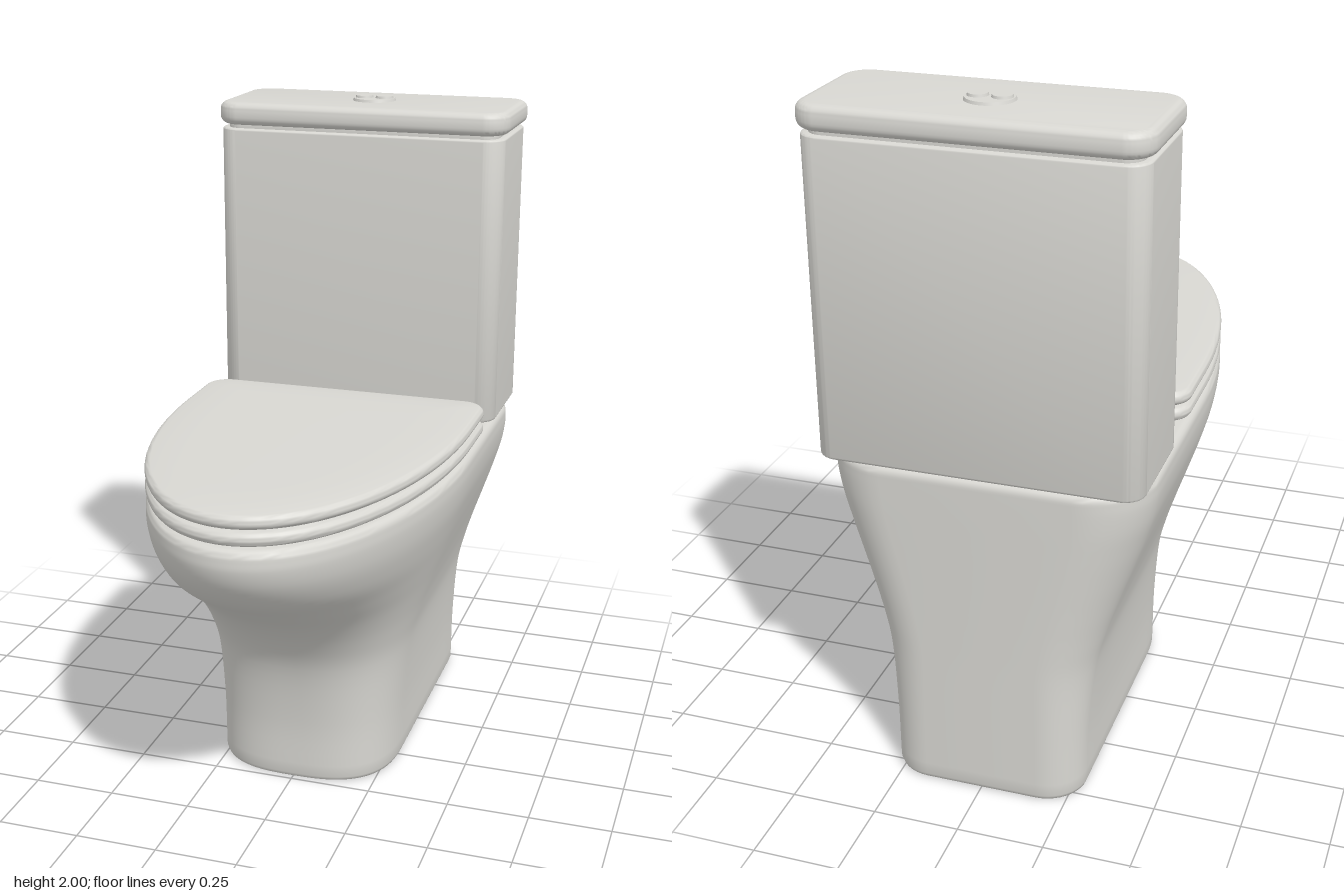
import * as THREE from 'three';
import { toCreasedNormals } from 'three/addons/utils/BufferGeometryUtils.js';

const ceramic = new THREE.MeshStandardMaterial({ color: 0xd8d7d2 });
ceramic.name = 'ceramic';

// Plan outline: curved front, straight sides, rounded back corners
function outline({ hw, front, back, mid, n, r }) {
  const pts = [];
  const arc = (cx, cz, a0) => {
    for (let i = 0; i <= 10; i++) {
      const a = a0 - (i / 10) * Math.PI / 2;
      pts.push([cx + r * Math.cos(a), cz + r * Math.sin(a)]);
    }
  };
  for (let i = 0; i <= 56; i++) {
    const t = (i / 56 - 0.5) * Math.PI;
    const s = Math.sin(t), c = Math.max(0, Math.cos(t));
    pts.push([hw * Math.sign(s) * Math.abs(s) ** (2 / n), mid + (front - mid) * c ** (2 / n)]);
  }
  for (let i = 1; i < 6; i++) pts.push([hw, mid + (back + r - mid) * i / 6]);
  arc(hw - r, back + r, 0);
  arc(-hw + r, back + r, -Math.PI / 2);
  for (let i = 5; i > 0; i--) pts.push([-hw, mid + (back + r - mid) * i / 6]);
  return pts;
}

// Closed skin through outlines stacked upwards
function loft(sections, crease) {
  const pos = [], idx = [];
  const rings = sections.map(outline);
  const m = rings[0].length;
  rings.forEach((ring, k) => ring.forEach(([x, z]) => pos.push(x, sections[k].y, z)));
  for (let k = 0; k < rings.length - 1; k++) {
    for (let j = 0; j < m; j++) {
      const a = k * m + j, b = k * m + (j + 1) % m;
      idx.push(a, b, b + m, a, b + m, a + m);
    }
  }
  const last = rings.length - 1, base = rings.length * m;
  pos.push(0, sections[0].y, sections[0].mid, 0, sections[last].y, sections[last].mid);
  for (let j = 0; j < m; j++) {
    const j2 = (j + 1) % m;
    idx.push(base, j2, j, base + 1, last * m + j, last * m + j2);
  }
  const g = new THREE.BufferGeometry();
  g.setAttribute('position', new THREE.Float32BufferAttribute(pos, 3));
  g.setIndex(idx);
  return toCreasedNormals(g, crease);
}

// Rounded rectangle block with softened top and bottom edges
function block(hw, z0, z1, y0, y1, r, bevel) {
  const s = new THREE.Shape();
  s.moveTo(-hw + r, z0);
  s.lineTo(hw - r, z0);
  s.absarc(hw - r, z0 + r, r, -Math.PI / 2, 0);
  s.absarc(hw - r, z1 - r, r, 0, Math.PI / 2);
  s.absarc(-hw + r, z1 - r, r, Math.PI / 2, Math.PI);
  s.absarc(-hw + r, z0 + r, r, Math.PI, Math.PI * 1.5);
  const g = new THREE.ExtrudeGeometry(s, {
    depth: y1 - y0 - 2 * bevel, curveSegments: 10, bevelEnabled: true,
    bevelThickness: bevel, bevelSize: bevel, bevelOffset: -bevel, bevelSegments: 6,
  });
  g.rotateX(Math.PI / 2).translate(0, y1 - bevel, 0);
  return toCreasedNormals(g, 0.6);
}

// Pedestal and bowl in one flowing skin
function bowlGeometry() {
  const curve = new THREE.CatmullRomCurve3([
    // half width, height, front
    [0.285, 0.015, 0.24], [0.288, 0.2, 0.247], [0.305, 0.4, 0.285], [0.329, 0.5, 0.34],
    [0.361, 0.6, 0.432], [0.396, 0.7, 0.572], [0.43, 0.8, 0.725], [0.453, 0.88, 0.797],
    [0.462, 0.94, 0.82], [0.462, 0.975, 0.82],
  ].map((p) => new THREE.Vector3(...p)), false, 'centripetal');
  const section = (hw, y, front, inset = 0) => {
    const t = THREE.MathUtils.smoothstep(y, 0.1, 0.95);
    return {
      y, hw: hw - inset, front: front - inset, back: -0.812 + inset,
      mid: -0.05 - 0.05 * t, n: 2.8 - 0.8 * t, r: 0.12 + 0.07 * t - inset,
    };
  };
  const list = [section(0.285, 0, 0.24, 0.012), section(0.285, 0.004, 0.24, 0.004)];
  for (const p of curve.getPoints(45)) list.push(section(p.x, p.y, p.z));
  for (let i = 1; i <= 5; i++) {
    const a = (i / 5) * Math.PI / 2;
    list.push(section(0.462, 0.975 + 0.025 * Math.sin(a), 0.82, 0.025 * (1 - Math.cos(a))));
  }
  return loft(list, 0.8);
}

// Seat-shaped slab with rounded edge and optional dome on top
function seatGeometry(y0, y1, dome) {
  const e = (y1 - y0) / 2, list = [];
  const add = (y, inset) => list.push({
    y, hw: 0.462 - inset, front: 0.822 - inset, back: -0.345 + inset,
    mid: -0.1, n: 2, r: Math.max(0.075 - inset, 0.02),
  });
  for (let i = 0; i <= 10; i++) {
    const a = (i / 10 - 0.5) * Math.PI;
    add(y0 + e + e * Math.sin(a), 0.018 * (1 - Math.cos(a)));
  }
  if (dome) for (const k of [0.08, 0.13, 0.19]) add(y1 + dome * Math.sin((k / 0.19) * Math.PI / 2), k);
  return loft(list, 0.9);
}

export function createModel() {
  const model = new THREE.Group();
  const add = (name, geometry, x = 0, y = 0, z = 0) => {
    const mesh = new THREE.Mesh(geometry, ceramic);
    mesh.name = name;
    mesh.position.set(x, y, z);
    model.add(mesh);
    return mesh;
  };

  add('bowl', bowlGeometry());

  // Seat and closed lid, with small spacers keeping the shadow gaps
  add('seat', seatGeometry(1.012, 1.052, 0));
  add('seatLid', seatGeometry(1.06, 1.1, 0.007));
  for (const sx of [-1, 1]) {
    for (const [x, z] of [[0.36, -0.2], [0.25, 0.5]]) {
      add('bumper', new THREE.CylinderGeometry(0.03, 0.03, 0.07, 16), sx * x, 1.03, z);
    }
  }

  // Hinge bar with end caps
  add('hingeBar', block(0.207, -0.411, -0.352, 1.008, 1.072, 0.015, 0.015));
  for (const sx of [-1, 1]) {
    const cap = new THREE.CylinderGeometry(0.024, 0.024, 0.026, 24).rotateZ(Math.PI / 2);
    add('hingeCap', cap, sx * 0.222, 1.04, -0.383);
    add('hingePost', new THREE.CylinderGeometry(0.012, 0.012, 0.04, 16), sx * 0.222, 1.015, -0.383);
  }

  // Water tank and its lid
  add('tank', block(0.46, -0.815, -0.42, 1.0, 1.905, 0.06, 0.008));
  add('tankNeck', block(0.44, -0.8, -0.435, 1.88, 1.93, 0.05, 0.004));
  add('tankLid', block(0.472, -0.826, -0.415, 1.915, 1.985, 0.08, 0.025));

  // Dual flush button
  add('buttonPlate', new THREE.CylinderGeometry(0.066, 0.07, 0.012, 40), 0, 1.987, -0.625);
  for (const sx of [-1, 1]) {
    add('flushButton', new THREE.CylinderGeometry(0.027, 0.03, 0.012, 28), sx * 0.033, 1.994, -0.625);
  }
  return model;
}
